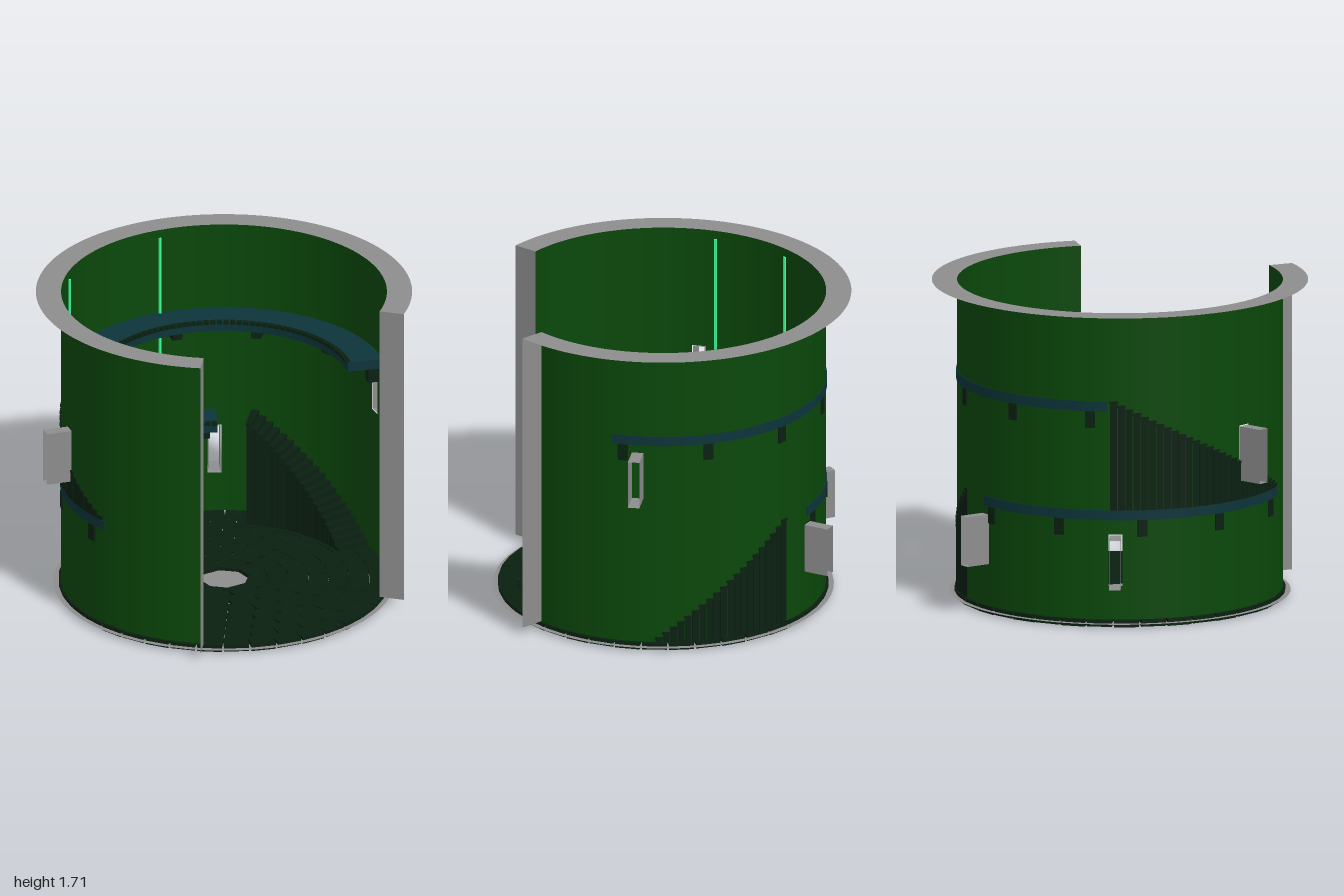
import * as THREE from 'three';
import { mergeGeometries } from 'three/addons/utils/BufferGeometryUtils.js';

const D = Math.PI / 180;
const R = 0.866, R_OUT = 1.0, TOP = 1.705, FLOOR = 0.04;

const mat = (color) => new THREE.MeshStandardMaterial({ color, side: THREE.DoubleSide });
const grey = mat(0x8d8d8d);
const green = mat(0x0a470a);
const stone = mat(0x0a2011);
const blue = mat(0x0c3439);
const glow = mat(0x3cff9c);

// Angles are in degrees, measured from the front (+z) towards +x.
const at = (r, a, y) => new THREE.Vector3(r * Math.sin(a * D), y, r * Math.cos(a * D));

// Plan outline of a ring sector.
function sector(r0, r1, a0, a1, seg = 1) {
  const pts = [];
  const add = (r, a) => pts.push(new THREE.Vector2(r * Math.sin(a * D), -r * Math.cos(a * D)));
  for (let i = 0; i <= seg; i++) add(r1, a0 + (a1 - a0) * i / seg);
  for (let i = seg; i >= 0; i--) add(r0, a0 + (a1 - a0) * i / seg);
  return new THREE.Shape(pts);
}

// Ring sector raised from y0 to y1.
function block(shape, y0, y1) {
  return new THREE.ExtrudeGeometry(shape, { depth: y1 - y0, bevelEnabled: false })
    .rotateX(-Math.PI / 2).translate(0, y0, 0);
}

export function createModel() {
  const model = new THREE.Group();
  const add = (name, geo, material) => {
    const mesh = new THREE.Mesh(Array.isArray(geo) ? mergeGeometries(geo) : geo, material);
    mesh.name = name;
    mesh.position.z = 0.045;
    model.add(mesh);
  };

  // Floor: backing disc among rings of straight paving stones that part at their outer corners
  add('floorDisc', new THREE.CircleGeometry(0.907, 64).rotateX(-Math.PI / 2).translate(0, 0.02, 0), grey);
  const tiles = [];
  const ringStep = 0.108;
  for (let ring = 0; ring < 7; ring++) {
    const n = 8 + ring * 5, mid = 0.123 + (ring + 0.5) * ringStep;
    const width = 2 * mid * Math.tan(Math.PI / n) - 0.004;
    for (let i = 0; i < n; i++) {
      const y0 = (i % 2) * 0.002;
      tiles.push(new THREE.BoxGeometry(width, FLOOR - 2 * y0, ringStep - 0.003)
        .translate(0, FLOOR / 2, mid).rotateY((i + (ring % 2) / 2) * 360 / n * D));
    }
  }
  add('floorStones', tiles, stone);

  // Curved wall, open at the front, with window openings
  const windows = [
    { a: 79.3, y: 0.995, h: 0.137 },
    { a: 150.5, y: 0.4, h: 0.14 },
    { a: 204.5, y: 0.362, h: 0.14 },
    { a: 255.7, y: 0.882, h: 0.153 },
  ];
  const wall = [];
  const panel = (a0, a1, y0, y1) => wall.push(
    new THREE.CylinderGeometry(R, R, y1 - y0, Math.max(2, Math.ceil((a1 - a0) / 3)), 1, true, a0 * D, (a1 - a0) * D)
      .translate(0, (y0 + y1) / 2, 0));
  const halfHole = 2.5;
  let from = 40;
  for (const w of windows) {
    panel(from, w.a - halfHole, FLOOR, TOP);
    panel(w.a - halfHole, w.a + halfHole, FLOOR, w.y - w.h);
    panel(w.a - halfHole, w.a + halfHole, w.y + w.h, TOP);
    from = w.a + halfHole;
  }
  panel(from, 320, FLOOR, TOP);
  add('wall', wall, green);

  // Flat wall top and the two wall ends
  add('wallTop', new THREE.ShapeGeometry(sector(R, R_OUT, 40, 320, 96))
    .rotateX(-Math.PI / 2).translate(0, TOP, 0), grey);
  for (const a of [40, 320]) {
    add('wallEnd', new THREE.PlaneGeometry(R_OUT - R, TOP - FLOOR)
      .translate((R + R_OUT) / 2, (TOP + FLOOR) / 2, 0).rotateY((a - 90) * D), grey);
  }

  // Window tunnels, open at both ends
  for (const w of windows) {
    const hw = 0.031, hh = w.h - 0.006;
    const frame = new THREE.Group();
    frame.name = 'windowTunnel';
    for (const s of [-1, 1]) {
      const sidePanel = new THREE.Mesh(new THREE.PlaneGeometry(0.138, hh * 2).rotateY(Math.PI / 2), grey);
      sidePanel.name = 'windowSide';
      sidePanel.position.set(s * hw, 0, 0);
      const sill = new THREE.Mesh(new THREE.PlaneGeometry(hw * 2, 0.138).rotateX(Math.PI / 2), grey);
      sill.name = 'windowSill';
      sill.position.set(0, s * hh, 0);
      frame.add(sidePanel, sill);
    }
    frame.position.copy(at(0.934, w.a, w.y));
    frame.position.z += 0.045;
    frame.rotation.y = w.a * D;
    model.add(frame);
  }

  // Two walkways with edging stones and brackets
  const walkways = [
    { name: 'lower', a0: 150, a1: 280, y: 0.58, first: 154.5, gap: 29.7 },
    { name: 'upper', a0: 70, a1: 201.5, y: 1.17, first: 74, gap: 30.4 },
  ];
  for (const w of walkways) {
    const yTop = w.y + 0.053;
    add(w.name + 'Walkway', block(sector(0.675, 0.871, w.a0, w.a1, 44), w.y, yTop), blue);
    const edging = [], brackets = [];
    const n = 44, step = (w.a1 - w.a0) / n;
    for (let i = 0; i < n; i++) {
      const a = w.a0 + i * step;
      edging.push(block(sector(0.664, 0.69, a + 0.3, a + step - 0.3), yTop - 0.01, yTop + 0.007));
    }
    for (let i = 0; i < 5; i++) {
      const a = w.first + i * w.gap;
      brackets.push(new THREE.BoxGeometry(0.054, 0.09, 0.08)
        .translate(0, w.y - 0.045, 0.834).rotateY(a * D));
    }
    add(w.name + 'Edging', edging, stone);
    add(w.name + 'Brackets', brackets, stone);
  }

  // Staircases of solid steps, each with a slightly wider tread
  const stairs = [
    { name: 'lowerStairs', a0: 85.5, a1: 137.3, y0: FLOOR, y1: 0.633, n: 20 },
    { name: 'upperStairs', a0: 279, a1: 202.5, y0: 0.633, y1: 1.224, n: 28 },
  ];
  for (const s of stairs) {
    const steps = [], da = (s.a1 - s.a0) / s.n, dy = (s.y1 - s.y0) / s.n;
    for (let i = 0; i < s.n; i++) {
      const a = s.a0 + (i + 0.5) * da, y = s.y0 + (i + 1) * dy, half = Math.abs(da) / 2;
      steps.push(block(sector(0.69, 0.871, a - half * 0.92, a + half * 0.92), s.y0, y - 0.012));
      steps.push(block(sector(0.682, 0.874, a - half * 1.12, a + half * 1.12), y - 0.012, y));
    }
    add(s.name, steps, stone);
  }

  // Thin glowing strips up the inside of the wall
  for (const a of [170.4, 219.8, 249.5]) {
    add('lightStrip', new THREE.BoxGeometry(0.013, 1.42, 0.01)
      .translate(0, 0.95, R - 0.007).rotateY(a * D), glow);
  }

  // Small curled shoots low on the back wall
  for (const [a, bend] of [[188.8, 1.6], [158.8, -3.6]]) {
    const curve = new THREE.CatmullRomCurve3([
      at(0.855, a, 0.19), at(0.855, a, 0.24), at(0.855, a + bend * 0.35, 0.28), at(0.855, a + bend, 0.295),
    ]);
    add('curledShoot', new THREE.TubeGeometry(curve, 12, 0.006, 6), glow);
  }

  return model;
}
